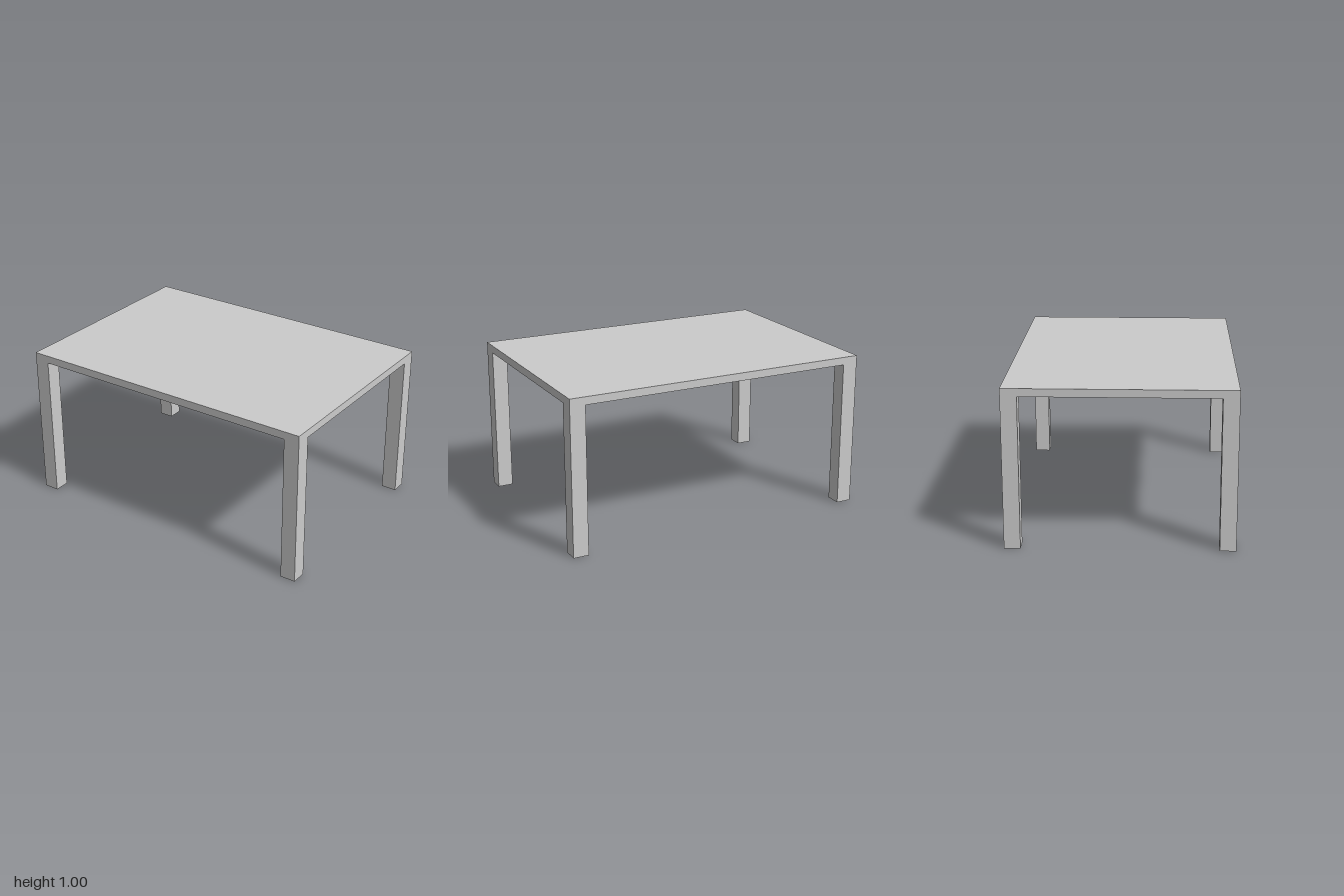
import * as THREE from 'three';

const WIDTH = 2, DEPTH = 1.4, HEIGHT = 1;
const TOP = 0.05; // tabletop thickness
const LEG = 0.1; // square leg side

export function createModel() {
  const table = new THREE.Group();
  table.name = 'table';
  const material = new THREE.MeshStandardMaterial({ color: 0xcccccc });

  // Tabletop slab
  const top = new THREE.Mesh(new THREE.BoxGeometry(WIDTH, TOP, DEPTH), material);
  top.name = 'tabletop';
  top.position.y = HEIGHT - TOP / 2;
  table.add(top);

  // Four square legs, flush with the corners of the top
  const legHeight = HEIGHT - TOP;
  const legGeometry = new THREE.BoxGeometry(LEG, legHeight, LEG);
  for (const [sideName, sx] of [['Left', 1], ['Right', -1]]) {
    for (const [endName, sz] of [['front', 1], ['back', -1]]) {
      const leg = new THREE.Mesh(legGeometry, material);
      leg.name = `${endName}${sideName}Leg`;
      leg.position.set(sx * (WIDTH - LEG) / 2, legHeight / 2, sz * (DEPTH - LEG) / 2);
      table.add(leg);
    }
  }
  return table;
}
